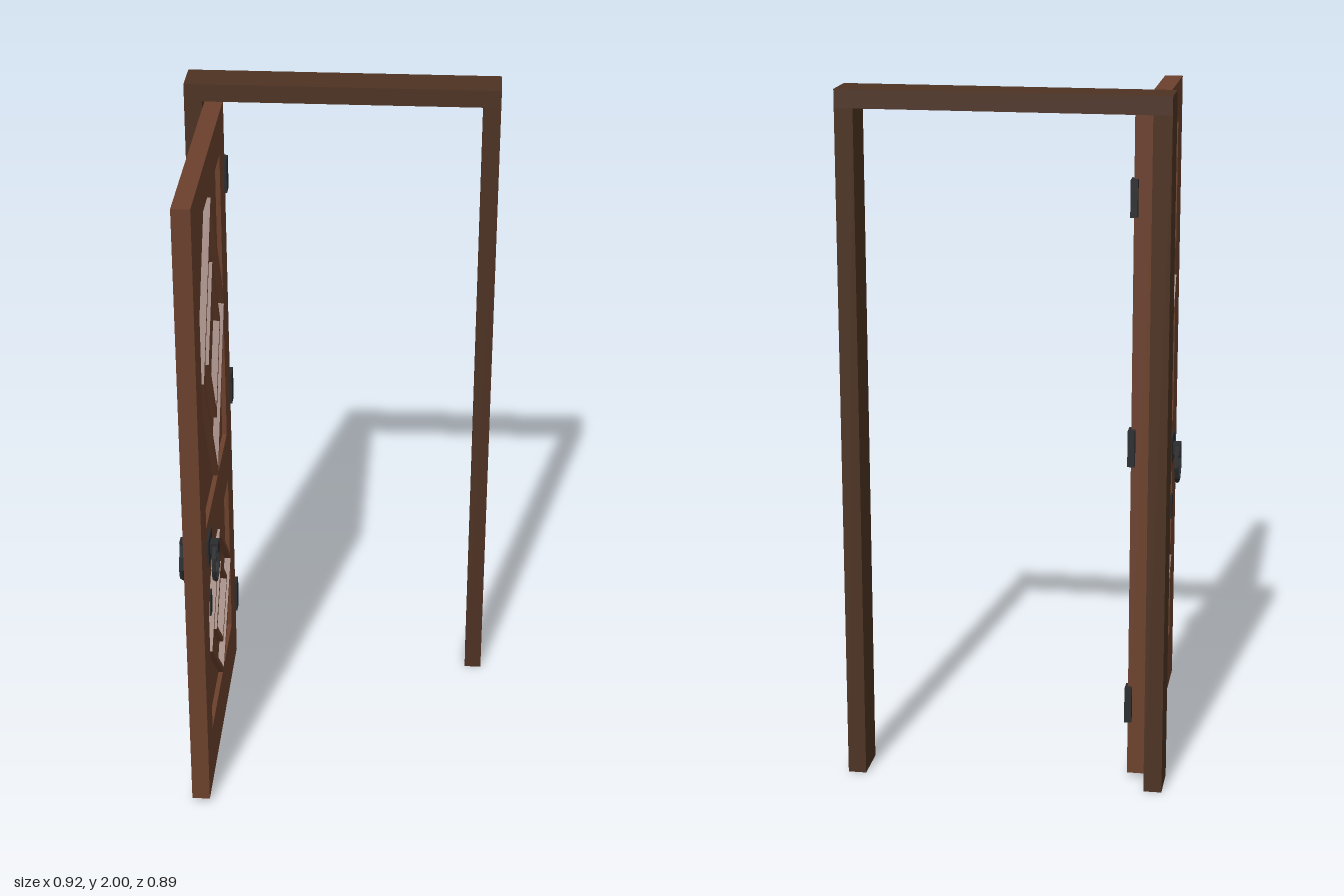
import * as THREE from 'three';

const material = (name, color) => {
  const m = new THREE.MeshStandardMaterial({ color });
  m.name = name;
  return m;
};

// Closed polygon traced from corner pairs
const trace = (P, pts) => new P(pts.map(([x, y]) => new THREE.Vector2(x, y)));
const rect = (P, x0, x1, y0, y1) => trace(P, [[x0, y0], [x1, y0], [x1, y1], [x0, y1]]);
const diamond = (P, x, y, w, h) => trace(P, [[x, y - h], [x + w, y], [x, y + h], [x - w, y]]);

export function createModel() {
  const frameWood = material('dark frame wood', 0x4d3222);
  const doorWood = material('reddish door wood', 0x6b402c);
  const iron = material('black iron', 0x2b2c2e);

  const model = new THREE.Group();
  model.name = 'openDoor';

  const add = (parent, name, geometry, mat, x = 0, y = 0, z = 0) => {
    const mesh = new THREE.Mesh(geometry, mat);
    mesh.name = name;
    mesh.position.set(x, y, z);
    parent.add(mesh);
    return mesh;
  };
  const box = (parent, name, mat, size, pos) =>
    add(parent, name, new THREE.BoxGeometry(...size), mat, ...pos);

  // Door frame: two posts and a lintel
  const frame = new THREE.Group();
  frame.name = 'frame';
  model.add(frame);
  for (const s of [-1, 1]) {
    box(frame, s > 0 ? 'leftPost' : 'rightPost', frameWood, [0.052, 1.948, 0.123], [s * 0.434, 0.974, -0.3855]);
  }
  box(frame, 'lintel', frameWood, [0.92, 0.052, 0.123], [0, 1.974, -0.3855]);

  // Door leaf, drawn flat and turned so that local x runs to the hinges and local z to +x
  const T = 0.053, RECESS = 0.014, RAISE = 0.005;
  const door = new THREE.Group();
  door.name = 'door';
  door.position.x = -0.3765;
  door.rotation.y = Math.PI / 2;
  model.add(door);

  const cx = -0.0475, halfW = 0.282;
  const panels = [
    { name: 'upper', y: 1.358, h: 0.462, rings: [[0.27, 0.447, 0.253, 0.419], [0.151, 0.25, 0.134, 0.219]] },
    { name: 'lower', y: 0.463, h: 0.27, rings: [[0.27, 0.262, 0.253, 0.242], [0.151, 0.148, 0.134, 0.128]] },
  ];

  // Stiles and rails, with openings for the panels
  const leaf = rect(THREE.Shape, -0.447, 0.358, 0.015, 1.94);
  for (const p of panels) leaf.holes.push(rect(THREE.Path, cx - halfW, cx + halfW, p.y - p.h, p.y + p.h));
  add(door, 'doorLeaf', new THREE.ExtrudeGeometry(leaf, { depth: T, bevelEnabled: false }), doorWood, 0, 0, -T / 2);

  // Sunk panels, and diamond mouldings that show on both faces
  for (const p of panels) {
    box(door, p.name + 'Panel', doorWood, [halfW * 2, p.h * 2, T - 2 * RECESS], [cx, p.y, 0]);
    p.rings.forEach(([w, h, wi, hi], i) => {
      const ring = diamond(THREE.Shape, cx, p.y, w, h);
      ring.holes.push(diamond(THREE.Path, cx, p.y, wi, hi));
      const depth = T + 2 * RAISE;
      add(door, p.name + (i ? 'Inner' : 'Outer') + 'Diamond',
        new THREE.ExtrudeGeometry(ring, { depth, bevelEnabled: false }), doorWood, 0, 0, -depth / 2);
    });
  }

  // Ring handle and keyhole plate on each face
  for (const s of [1, -1]) {
    const handle = new THREE.Group();
    handle.name = s > 0 ? 'innerHandle' : 'outerHandle';
    door.add(handle);
    const face = T / 2;
    box(handle, 'backPlate', iron, [0.088, 0.084, 0.006], [-0.295, 0.815, s * (face + 0.003)]);
    box(handle, 'ringMount', iron, [0.034, 0.034, 0.03], [-0.291, 0.815, s * (face + 0.015)]);
    add(handle, 'pullRing', new THREE.TorusGeometry(0.056, 0.007, 6, 10).toNonIndexed(), iron,
      -0.293, 0.766, s * (face + 0.021)).geometry.computeVertexNormals();
    box(handle, 'keyholePlate', iron, [0.035, 0.074, 0.005], [-0.297, 0.623, s * (face + 0.0025)]);
  }

  // Hinges
  for (const y of [0.233, 1.003, 1.71]) {
    box(model, 'hinge', iron, [0.02, 0.104, 0.044], [-0.352, y, -0.357]);
  }

  return model;
}
